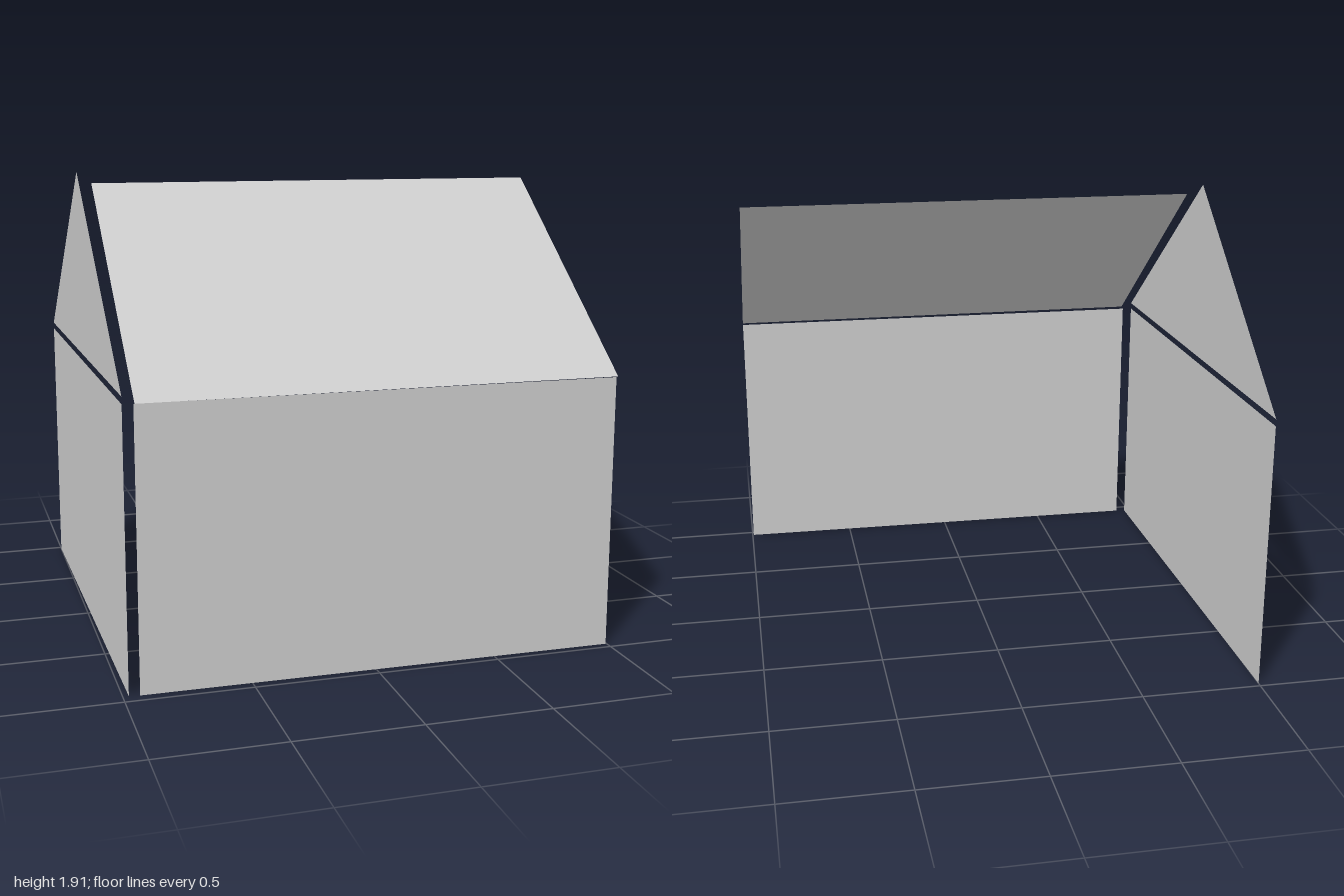
import * as THREE from 'three';

const material = new THREE.MeshStandardMaterial({ color: 0xcccccc, flatShading: true, side: THREE.DoubleSide });

// Thin flat panel from its corners, listed counter-clockwise as seen from outside
function panel(name, corners) {
  const geometry = new THREE.BufferGeometry().setFromPoints(corners.map((c) => new THREE.Vector3(...c)));
  geometry.setIndex(corners.length === 3 ? [0, 1, 2] : [0, 1, 2, 0, 2, 3]);
  geometry.computeVertexNormals();
  const mesh = new THREE.Mesh(geometry, material);
  mesh.name = name;
  return mesh;
}

export function createModel() {
  const group = new THREE.Group();
  group.name = 'houseShell';

  const left = 0.995, right = -0.935; // ends of the front wall and roof
  const wallTop = 1.117;
  const sideBack = [-1, -0.98], sideFront = [-0.977, 0.951]; // x, z of the slightly turned side

  // Point on the side plane at a given height, t running from back to front
  const onSide = (t, y) => [
    THREE.MathUtils.lerp(sideBack[0], sideFront[0], t), y,
    THREE.MathUtils.lerp(sideBack[1], sideFront[1], t),
  ];

  group.add(
    panel('frontWall', [[right, 0, 0.955], [left, 0, 0.967], [left, wallTop, 0.967], [right, wallTop, 0.955]]),
    panel('roofSlope', [[right, 1.122, 0.98], [left, 1.122, 0.98], [left, 1.862, 0.014], [right, 1.862, 0.014]]),
    panel('sideWall', [onSide(0, 0), onSide(1, 0), onSide(1, wallTop), onSide(0, wallTop)]),
    panel('gable', [onSide(0, 1.145), onSide(1, 1.145), onSide(0.49, 1.908)]),
  );
  return group;
}
